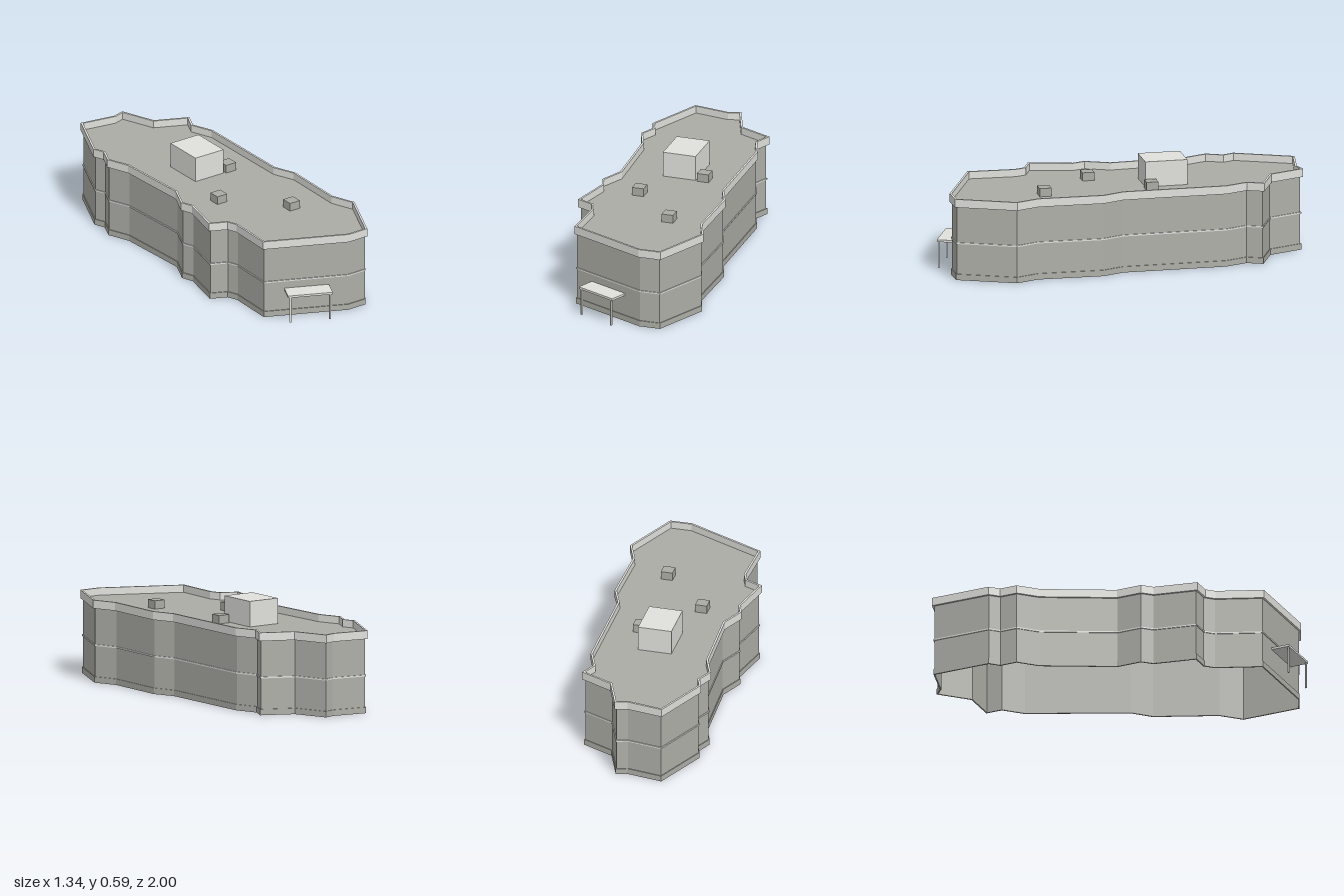
import * as THREE from 'three';

// Outer roof-edge footprint as [x, z], running clockwise seen from above
const FOOTPRINT = [
  [-0.668, -0.89], [-0.46, -0.945], [-0.405, -0.993], [-0.25, -0.84], [-0.042, -0.84], [-0.042, -0.738],
  [0.058, -0.64], [0.31, -0.08], [0.41, 0.015], [0.56, 0.37], [0.667, 0.475], [0.667, 0.84],
  [0.55, 0.895], [0.045, 0.895], [-0.06, 0.635], [-0.105, 0.59], [-0.213, 0.59], [-0.262, 0.335],
  [-0.315, 0.28], [-0.315, 0.125], [-0.515, -0.275], [-0.617, -0.375], [-0.617, -0.48], [-0.668, -0.53],
];

// Move every edge inward by d and rejoin the corners with mitres
function inset(d) {
  const n = FOOTPRINT.length;
  const normal = (a, b) => new THREE.Vector2(a[1] - b[1], b[0] - a[0]).normalize();
  return FOOTPRINT.map((p, i) => {
    const n1 = normal(FOOTPRINT[(i + n - 1) % n], p);
    const n2 = normal(p, FOOTPRINT[(i + 1) % n]);
    const m = n1.clone().add(n2).multiplyScalar(d / (1 + n1.dot(n2)));
    return new THREE.Vector2(p[0] + m.x, -(p[1] + m.y));
  });
}

export function createModel() {
  const model = new THREE.Group();
  const material = (name, color, side = THREE.FrontSide) => {
    const m = new THREE.MeshStandardMaterial({ color, side });
    m.name = name;
    return m;
  };
  // Thin shells are double sided because the building is open underneath
  const wall = material('wall grey', 0xaeafa8, THREE.DoubleSide);
  const trim = material('light trim', 0xe0e0dc, THREE.DoubleSide);
  const roofing = material('roof grey', 0xacaca6, THREE.DoubleSide);

  const add = (name, geometry, mat) => {
    const mesh = new THREE.Mesh(geometry, mat);
    mesh.name = name;
    model.add(mesh);
    return mesh;
  };

  // Closed band following the footprint between two insets and two heights
  const ring = (name, outer, inner, y0, y1, mat) => {
    const shape = new THREE.Shape(inset(outer));
    shape.holes.push(new THREE.Path(inset(inner).reverse()));
    const g = new THREE.ExtrudeGeometry(shape, { depth: y1 - y0, bevelEnabled: false });
    g.rotateX(-Math.PI / 2).translate(0, y0, 0);
    return add(name, g, mat);
  };
  const box = (name, w, h, d, x, y0, z, mat, turn = 0) => {
    const mesh = add(name, new THREE.BoxGeometry(w, h, d), mat);
    mesh.position.set(x, y0 + h / 2, z);
    mesh.rotation.y = turn;
    return mesh;
  };

  // Shell, open underneath
  ring('walls', 0.01, 0.013, 0, 0.44, wall);
  ring('plinth', 0.005, 0.011, 0, 0.035, wall);
  ring('floorBand', 0.005, 0.011, 0.216, 0.225, trim);
  ring('parapet', -0.003, 0.009, 0.437, 0.486, trim);

  // Sunken flat roof
  const roof = new THREE.ShapeGeometry(new THREE.Shape(inset(0.007)));
  roof.rotateX(-Math.PI / 2).translate(0, 0.443, 0);
  add('roof', roof, roofing);

  // Rooftop plant room and vents, turned along the long wing
  const turn = 0.42;
  box('plantRoom', 0.2, 0.15, 0.25, -0.12, 0.443, -0.224, trim, turn);
  [[0.055, -0.193], [-0.08, 0.214], [0.315, 0.386]].forEach(([x, z], i) =>
    box(`roofVent${i + 1}`, 0.07, 0.049, 0.07, x, 0.443, z, roofing, turn));

  // Entrance canopy on two posts
  box('canopy', 0.264, 0.013, 0.11, 0.302, 0.16, 0.943, trim);
  for (const s of [-1, 1]) box('canopyPost', 0.009, 0.16, 0.009, 0.302 + s * 0.117, 0, 0.99, trim);

  return model;
}
